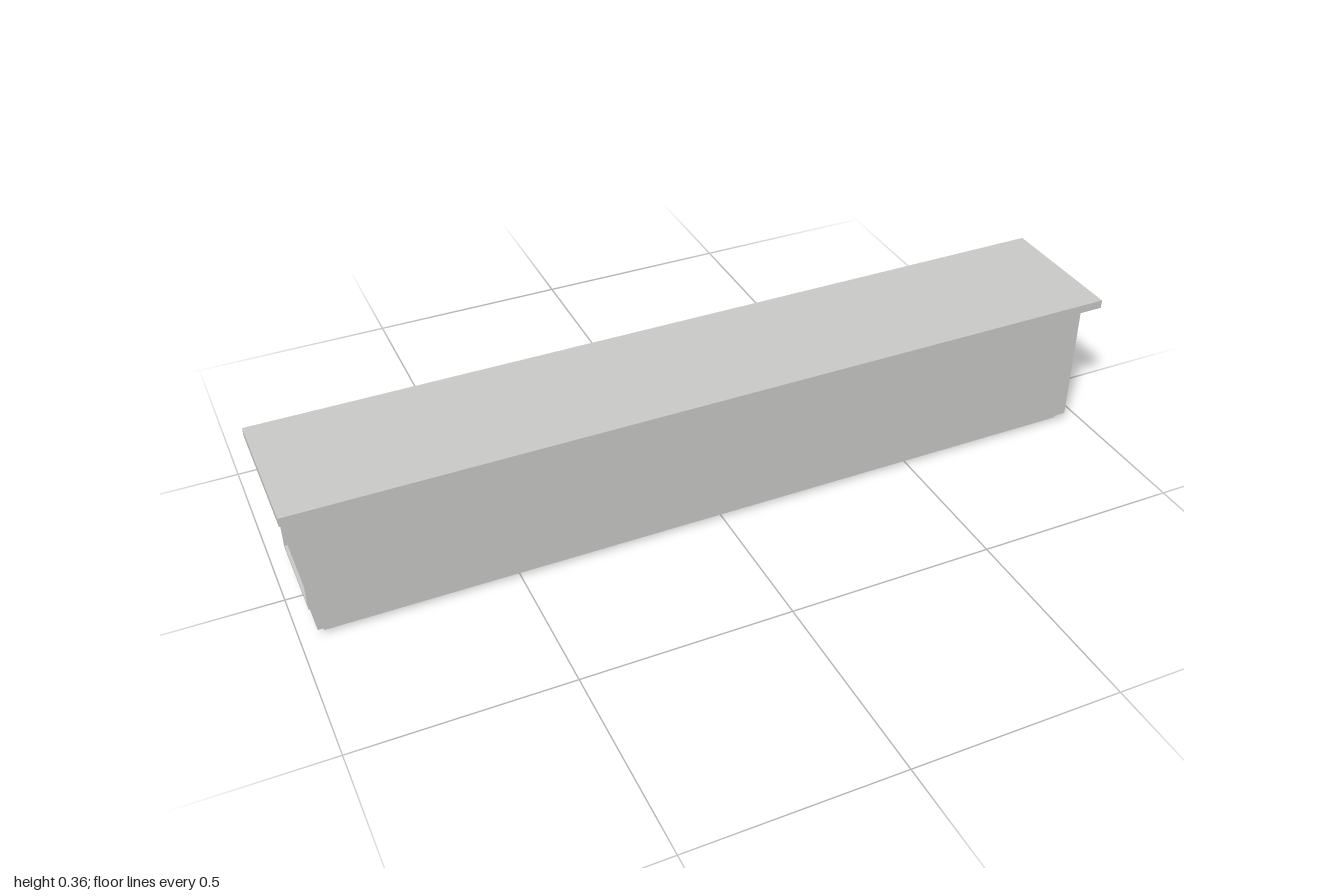
import * as THREE from 'three';

export function createModel() {
  const group = new THREE.Group();
  const paint = new THREE.MeshStandardMaterial({ color: 0xc8c8c6 });
  paint.name = 'pale grey paint';

  // Box given by its centre x, lower y and full sizes
  const box = (name, w, h, d, x, y, z, parent = group) => {
    const mesh = new THREE.Mesh(new THREE.BoxGeometry(w, h, d), paint);
    mesh.name = name;
    mesh.position.set(x, y + h / 2, z);
    parent.add(mesh);
  };

  box('plinth', 1.89, 0.02, 0.262, 0, 0, 0);
  box('body', 1.92, 0.315, 0.295, 0, 0.02, 0);
  box('topSlab', 2, 0.021, 0.34, 0, 0.335, 0);

  // Raised moulding frame on each end
  const t = 0.007, w = 0.008;
  for (const side of [-1, 1]) {
    const frame = new THREE.Group();
    frame.name = side > 0 ? 'leftEndFrame' : 'rightEndFrame';
    const x = side * (0.96 + t / 2);
    box('topRail', t, w, 0.23, x, 0.293, 0, frame);
    box('bottomRail', t, w, 0.23, x, 0.054, 0, frame);
    for (const s of [-1, 1]) {
      box('stile', t, 0.231, w, x, 0.062, s * 0.111, frame);
    }
    group.add(frame);
  }
  return group;
}
